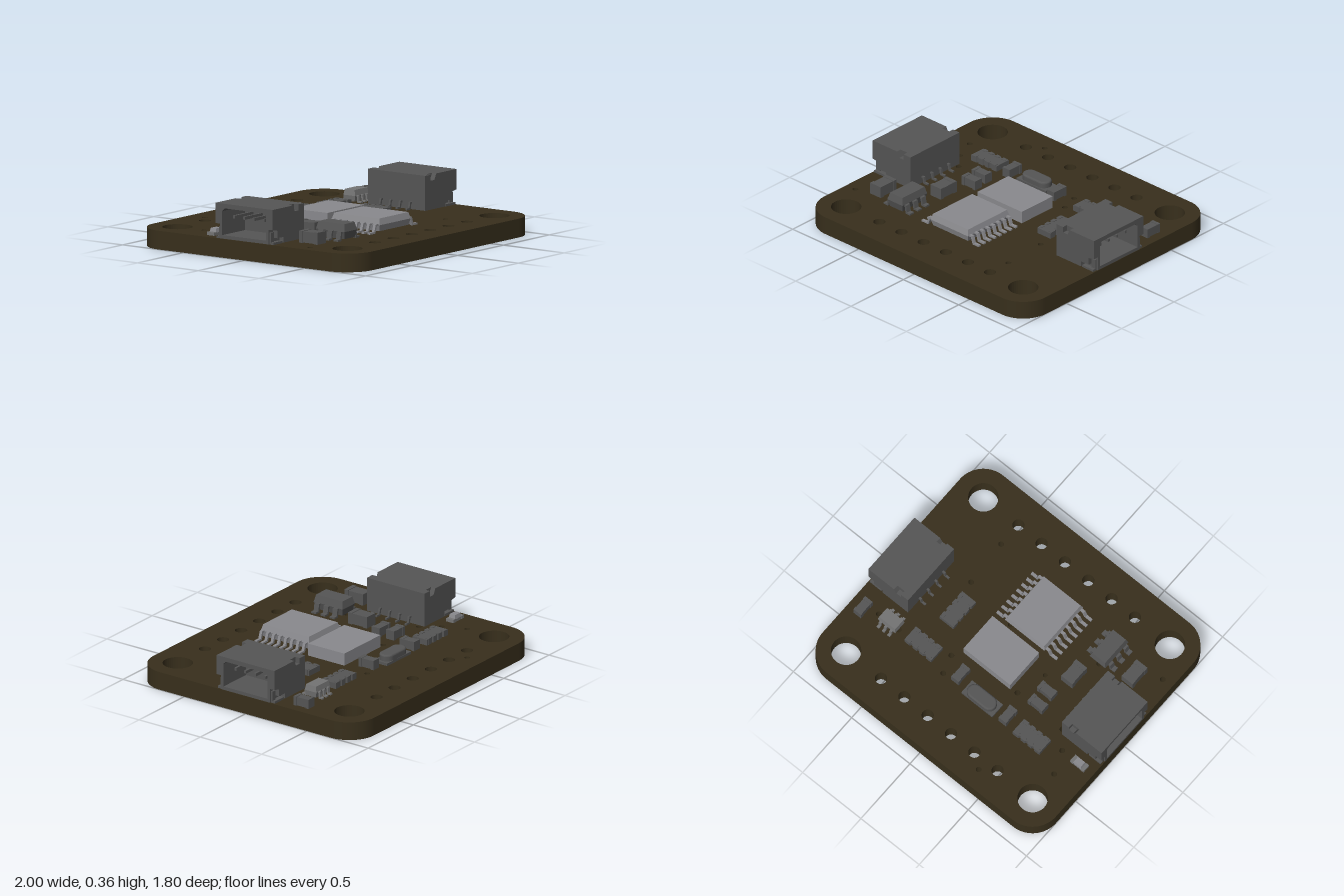
import * as THREE from 'three';

const TOP = 0.125; // upper face of the board
const mat = (color) => new THREE.MeshStandardMaterial({ color });
const boardMat = mat(0x382f1c), dark = mat(0x555555), light = mat(0x8a8a8e), mid = mat(0x747474);

function add(parent, name, geometry, material, x = 0, y = 0, z = 0) {
  const m = new THREE.Mesh(geometry, material);
  m.name = name;
  m.position.set(x, y, z);
  parent.add(m);
  return m;
}

function group(parent, name) {
  const g = new THREE.Group();
  g.name = name;
  parent.add(g);
  return g;
}

// Box given by its limits
function block(parent, name, material, x0, x1, y0, y1, z0, z1) {
  return add(parent, name, new THREE.BoxGeometry(x1 - x0, y1 - y0, z1 - z0), material,
    (x0 + x1) / 2, (y0 + y1) / 2, (z0 + z1) / 2);
}

const poly = (pts) => new THREE.Shape(pts.map(([x, y]) => new THREE.Vector2(x, y)));
const extrude = (shape, depth, opts = {}) =>
  new THREE.ExtrudeGeometry(shape, { depth, bevelEnabled: false, curveSegments: 12, ...opts });

function roundedRect(w, h, r) {
  const s = new THREE.Shape(), x = w / 2, y = h / 2;
  s.absarc(x - r, y - r, r, 0, Math.PI / 2);
  s.absarc(-x + r, y - r, r, Math.PI / 2, Math.PI);
  s.absarc(-x + r, -y + r, r, Math.PI, Math.PI * 1.5);
  s.absarc(x - r, -y + r, r, Math.PI * 1.5, Math.PI * 2);
  s.closePath();
  return s;
}

// Moulded package: widest at mid height, drafted towards top and bottom
function molded(parent, material, x0, x1, y0, y1, z0, z1, inset) {
  const w = x1 - x0, d = z1 - z0;
  const g = new THREE.BoxGeometry(w, y1 - y0, d, 1, 2, 1).toNonIndexed();
  const p = g.attributes.position;
  for (let i = 0; i < p.count; i++) {
    if (Math.abs(p.getY(i)) > 1e-4) {
      p.setX(i, p.getX(i) * (1 - 2 * inset / w));
      p.setZ(i, p.getZ(i) * (1 - 2 * inset / d));
    }
  }
  g.computeVertexNormals();
  return add(parent, 'packageBody', g, material, (x0 + x1) / 2, (y0 + y1) / 2, (z0 + z1) / 2);
}

// Gull-wing lead running along local +x from the package side
function lead(parent, material, x, z, angle, length, width, height) {
  const t = 0.012, a = length * 0.25, b = length * 0.5;
  const shape = poly([[-0.01, height - t], [a - t / 2, height - t], [b - t, 0], [length, 0],
    [length, t], [b, t], [a + t / 2, height], [-0.01, height]]);
  const g = extrude(shape, width);
  g.translate(0, 0, -width / 2);
  add(parent, 'lead', g, material, x, TOP + 0.002, z).rotation.y = angle;
}

// Two-terminal chip part, terminals at the ends of its long side
function chipPart(root, name, material, x0, x1, z0, z1, h) {
  const g = group(root, name), e = 0.003, y1 = TOP + h;
  const alongX = x1 - x0 > z1 - z0;
  const t = Math.max(x1 - x0, z1 - z0) * 0.2;
  block(g, 'body', material, x0 + e, x1 - e, TOP + e, y1 - e, z0 + e, z1 - e);
  if (alongX) {
    block(g, 'terminal', material, x0, x0 + t, TOP, y1, z0, z1);
    block(g, 'terminal', material, x1 - t, x1, TOP, y1, z0, z1);
  } else {
    block(g, 'terminal', material, x0, x1, TOP, y1, z0, z0 + t);
    block(g, 'terminal', material, x0, x1, TOP, y1, z1 - t, z1);
  }
}

// Four-element resistor array with notched long sides
function resistorArray(root, x, z, turned) {
  const w = 0.23, d = 0.118, n = 0.009, side = [];
  for (const i of [-1, 0, 1]) {
    const c = i * w / 4;
    side.push([c - 0.012, -d / 2], [c - 0.006, -d / 2 + n], [c + 0.006, -d / 2 + n], [c + 0.012, -d / 2]);
  }
  const lower = [[-w / 2, -d / 2], ...side, [w / 2, -d / 2]];
  const g = extrude(poly([...lower, ...lower.map(([a, b]) => [-a, -b])]), 0.04);
  g.rotateX(-Math.PI / 2);
  const part = group(root, 'resistorArray');
  add(part, 'body', g, dark);
  for (let i = 0; i < 4; i++) for (const s of [-1, 1])
    add(part, 'terminal', new THREE.BoxGeometry(0.034, 0.043, 0.026), dark,
      (i - 1.5) * w / 4, 0.0215, s * (d / 2 - 0.0125));
  part.position.set(x, TOP, z);
  if (turned) part.rotation.y = Math.PI / 2;
}

// Side-entry socket whose mouth points along local +x
function connector(root, name, angle) {
  const g = group(root, name), y0 = TOP + 0.002, y1 = 0.36;
  const frame = poly([[-0.2, y0], [0.2, y0], [0.2, y1], [-0.2, y1]]);
  frame.holes.push(new THREE.Path([[-0.18, 0.15], [-0.18, 0.31], [-0.16, 0.33], [0.16, 0.33], [0.18, 0.31], [0.18, 0.15]]
    .map(([x, y]) => new THREE.Vector2(x, y))));
  const shell = extrude(frame, 0.25);
  shell.rotateY(Math.PI / 2);
  add(g, 'shell', shell, dark, 0.75, 0, 0);
  block(g, 'backWall', dark, 0.66, 0.752, y0, y1, -0.2, 0.2);
  // Cheeks with a slot in the top edge and a cut-out for the solder tab
  const cheek = poly([[0.66, y0], [0.88, y0], [0.88, 0.165], [0.95, 0.165], [0.95, 0.215], [1, 0.225],
    [1, y1], [0.78, y1], [0.76, 0.32], [0.72, 0.32], [0.72, y1], [0.66, y1]]);
  for (const s of [-1, 1]) {
    const c = extrude(cheek, 0.036);
    add(g, 'cheek', c, dark, 0, 0, s > 0 ? 0.199 : -0.235);
    block(g, 'solderTab', dark, 0.89, 0.99, TOP, TOP + 0.015, s * 0.215 - 0.018, s * 0.215 + 0.018);
    block(g, 'solderTabUpright', dark, 0.955, 0.99, TOP, 0.205, s * 0.206 - 0.007, s * 0.206 + 0.007);
  }
  for (const z of [-0.12, -0.04, 0.04, 0.12]) {
    block(g, 'contactPin', dark, 0.74, 0.95, 0.26, 0.28, z - 0.008, z + 0.008);
    lead(g, dark, 0.66, z, Math.PI, 0.055, 0.014, 0.05);
  }
  g.rotation.y = angle;
}

export function createModel() {
  const root = new THREE.Group();
  root.name = 'circuitBoardModule';

  // Board with mounting holes, pin holes and vias
  const outline = roundedRect(2, 1.8, 0.2);
  const hole = (x, z, r) => outline.holes.push(new THREE.Path().absarc(x, -z, r, 0, Math.PI * 2, true));
  for (const z of [-0.7, 0.7]) {
    for (const x of [-0.8, 0.8]) hole(x, z, 0.1);
    for (let i = 0; i < 6; i++) hole(-0.5 + i * 0.2, z, 0.04);
  }
  const vias = [[-0.4, -0.775], [-0.8, -0.48], [-0.735, -0.32], [-0.64, -0.205], [-0.25, -0.2],
    [0.21, -0.41], [0.25, -0.28], [0.8, -0.365], [0.48, 0.195], [0.5, 0.525], [-0.92, 0.485],
    [0.63, -0.365], [-0.53, 0.3], [0.09, 0.135]];
  for (const [x, z] of vias) hole(x, z, 0.019);
  hole(-0.31, 0.01, 0.015);
  const board = extrude(outline, TOP, { curveSegments: 20 });
  board.rotateX(-Math.PI / 2);
  add(root, 'board', board, boardMat);

  connector(root, 'leftConnector', 0);
  connector(root, 'rightConnector', Math.PI);

  // Large leadless chip
  const sensor = group(root, 'sensorChip');
  block(sensor, 'body', light, -0.2, 0.2, TOP + 0.005, 0.215, -0.215, 0.08);
  block(sensor, 'pad', light, -0.19, 0.19, TOP, TOP + 0.006, -0.205, 0.07);

  // Sixteen-lead chip
  const main = group(root, 'mainChip');
  molded(main, light, -0.21, 0.13, 0.137, 0.222, 0.122, 0.518, 0.012);
  for (let i = 0; i < 8; i++) {
    const z = 0.145 + i * 0.0503;
    lead(main, light, 0.128, z, 0, 0.087, 0.02, 0.06);
    lead(main, light, -0.208, z, Math.PI, 0.092, 0.02, 0.06);
  }

  // Six-lead regulator
  const reg = group(root, 'regulator');
  molded(reg, dark, -0.595, -0.46, 0.137, 0.237, 0.285, 0.522, 0.012);
  for (const z of [0.335, 0.41, 0.485]) {
    lead(reg, dark, -0.464, z, 0, 0.055, 0.038, 0.06);
    lead(reg, dark, -0.591, z, Math.PI, 0.055, 0.038, 0.06);
  }

  // Small six-lead chip
  const small = group(root, 'smallChip');
  molded(small, mid, 0.622, 0.773, 0.135, 0.213, -0.41, -0.315, 0.007);
  for (const x of [0.652, 0.698, 0.743]) {
    lead(small, mid, x, -0.317, -Math.PI / 2, 0.037, 0.02, 0.05);
    lead(small, mid, x, -0.408, Math.PI / 2, 0.037, 0.02, 0.05);
  }

  // Crystal: flange plate with a rounded can
  const crystal = group(root, 'crystal');
  block(crystal, 'flange', dark, -0.235, 0.03, TOP, 0.143, -0.44, -0.33);
  const can = extrude(roundedRect(0.2, 0.076, 0.0379), 0.03,
    { bevelEnabled: true, bevelSize: 0.013, bevelThickness: 0.013, bevelSegments: 4 });
  can.rotateX(-Math.PI / 2);
  add(crystal, 'can', can, dark, -0.1025, 0.143, -0.387);

  resistorArray(root, -0.525, -0.382, false);
  resistorArray(root, 0.434, -0.345, false);
  resistorArray(root, 0.416, -0.017, true);

  // Capacitors and resistors: x0, x1, z0, z1, height
  const chips = [[-0.345, -0.28, -0.43, -0.312, 0.065], [0.078, 0.143, -0.41, -0.29, 0.065],
    [0.87, 0.935, -0.465, -0.345, 0.065], [-0.472, -0.35, -0.215, -0.15, 0.065],
    [-0.46, -0.337, -0.107, -0.042, 0.065], [-0.507, -0.412, 0.053, 0.205, 0.08],
    [-0.81, -0.715, 0.308, 0.46, 0.08]];
  for (const c of chips) chipPart(root, 'chipCapacitor', dark, ...c);

  // Indicator light: base, terminals and clear dome block
  const led = group(root, 'indicatorLight');
  block(led, 'base', mid, -0.925, -0.84, TOP, 0.143, -0.347, -0.293);
  for (const x of [-0.927, -0.838]) block(led, 'terminal', mid, x - 0.014, x + 0.014, TOP, 0.147, -0.349, -0.291);
  molded(led, light, -0.918, -0.847, 0.115, 0.17, -0.347, -0.293, 0.006);

  return root;
}
